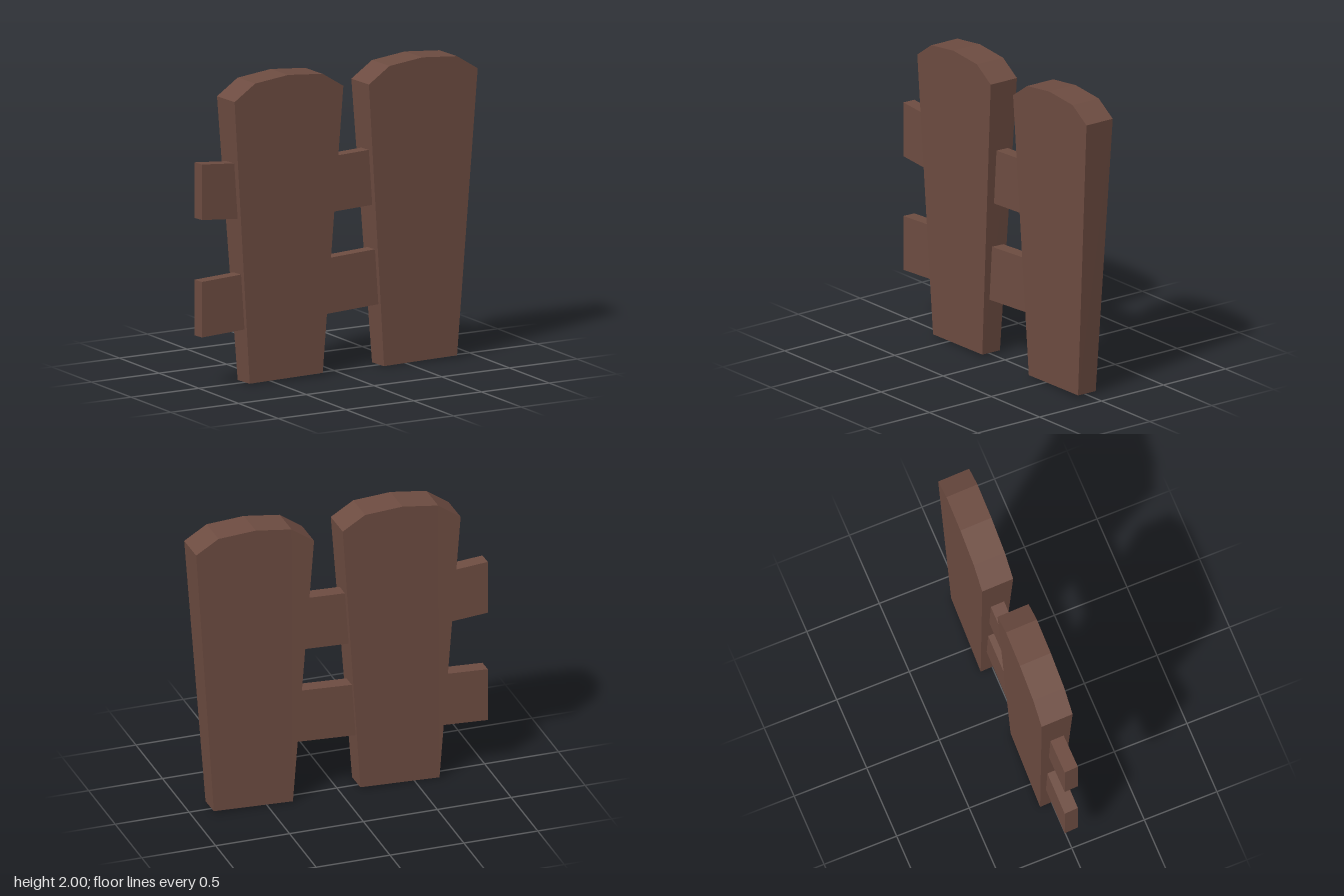
import * as THREE from 'three';

// Slab from a counter-clockwise outline; depth(x, y) gives its [front, back] z.
// Edges whose index is in openEdges get no wall.
function slab(outline, depth, openEdges = []) {
  const front = outline.map(([x, y]) => [x, y, depth(x, y)[0]]);
  const back = outline.map(([x, y]) => [x - 0.004, y - 0.003, depth(x, y)[1]]);
  const pos = [];
  const tri = (a, b, c) => pos.push(...a, ...b, ...c);
  const n = outline.length;
  for (let i = 1; i < n - 1; i++) {
    tri(front[0], front[i], front[i + 1]);
    tri(back[0], back[i + 1], back[i]);
  }
  for (let i = 0; i < n; i++) {
    if (openEdges.includes(i)) continue;
    const j = (i + 1) % n;
    tri(front[i], back[i], back[j]);
    tri(front[i], back[j], front[j]);
  }
  const geo = new THREE.BufferGeometry();
  geo.setAttribute('position', new THREE.Float32BufferAttribute(pos, 3));
  geo.computeVertexNormals();
  return geo;
}

export function createModel() {
  const model = new THREE.Group();
  model.name = 'fence';
  const wood = new THREE.MeshStandardMaterial({
    color: 0x6d4c41, flatShading: true, side: THREE.DoubleSide,
  });
  wood.name = 'brown wood';

  const add = (name, geo, x = 0) => {
    const mesh = new THREE.Mesh(geo, wood);
    mesh.name = name;
    mesh.position.x = x;
    model.add(mesh);
  };

  // Planks: wider and thicker upward, turned slightly, open underneath
  const plankOutline = [
    [-0.262, 0.005], [0.268, 0.018], [0.4, 1.885], [0.25, 1.98],
    [0, 2.0], [-0.24, 1.97], [-0.39, 1.865],
  ];
  const plankDepth = (x, y) => {
    const half = THREE.MathUtils.lerp(0.0725, 0.1075, Math.min(y / 1.87, 1));
    const mid = 0.0285 * x - 0.002 * y;
    return [mid + half, mid - half];
  };
  const plank = slab(plankOutline, plankDepth, [0]);
  add('leftPlank', plank, 0.592);
  add('rightPlank', plank, -0.4);

  // Rails: [name, x0, top0, x1, top1], all of one height
  const rails = [
    ['upperRailOuter', -1, 1.472, -0.4, 1.422],
    ['upperRailInner', -0.4, 1.4, 0.5, 1.436],
    ['lowerRail', -1, 0.705, 0.5, 0.782],
  ];
  for (const [name, x0, t0, x1, t1] of rails) {
    const h = 0.363;
    add(name, slab([[x0, t0 - h], [x1, t1 - h], [x1, t1], [x0, t0]], () => [0.042, -0.05]));
  }
  return model;
}
